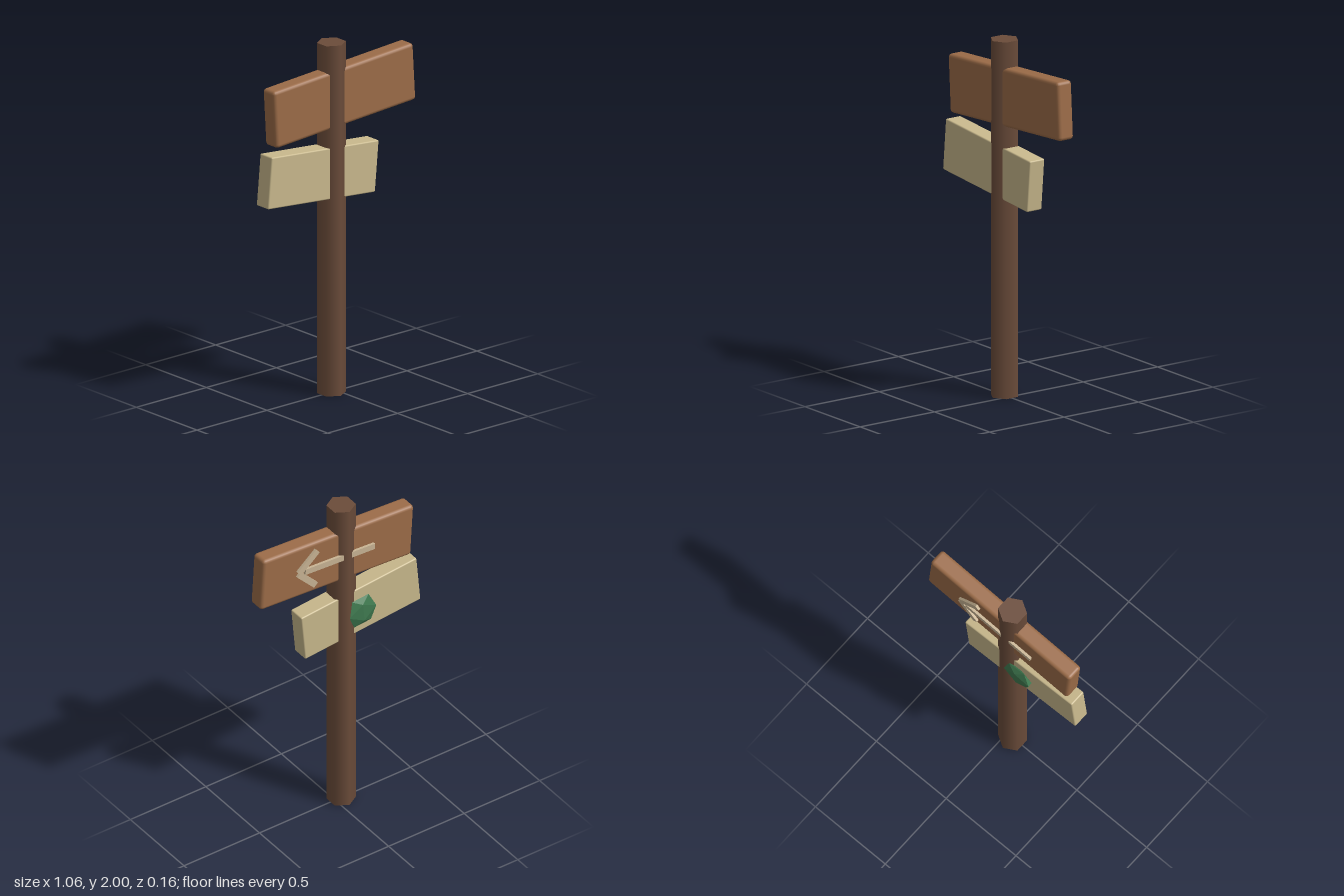
import * as THREE from 'three';
import { RoundedBoxGeometry } from 'three/addons/geometries/RoundedBoxGeometry.js';

const material = (color, flatShading = false) => {
  const m = new THREE.MeshStandardMaterial({ color });
  m.flatShading = flatShading;
  return m;
};

function addMesh(parent, name, geometry, mat, x, y, z, angle = 0) {
  const mesh = new THREE.Mesh(geometry, mat);
  mesh.name = name;
  mesh.position.set(x, y, z);
  mesh.rotation.z = angle;
  parent.add(mesh);
  return mesh;
}

// A tilted sign whose decorations sit in its own local frame
function addSign(parent, name, x, y, angle) {
  const sign = new THREE.Group();
  sign.name = name;
  sign.position.set(x, y, 0);
  sign.rotation.z = angle;
  parent.add(sign);
  return sign;
}

export function createModel() {
  const model = new THREE.Group();
  model.name = 'signpost';

  // Hexagonal post
  addMesh(model, 'post', new THREE.CylinderGeometry(0.08, 0.08, 2, 6), material(0x6b4c3a), -0.04, 1, 0);

  // Upper board with an arrow on its back
  const upper = addSign(model, 'upperSign', 0.0175, 1.69, 0.06);
  addMesh(upper, 'upperBoard', new RoundedBoxGeometry(1.0, 0.328, 0.1, 2, 0.02), material(0x9c6c48), 0, 0, 0);

  const arrowMat = material(0xc8b494);
  addMesh(upper, 'arrowShaft', new THREE.BoxGeometry(0.46, 0.036, 0.025), arrowMat, -0.007, 0, -0.0525);
  for (const side of [1, -1]) {
    addMesh(upper, side > 0 ? 'arrowHeadUpper' : 'arrowHeadLower',
      new THREE.BoxGeometry(0.16, 0.036, 0.025), arrowMat, 0.206, side * 0.058, -0.0525, -side * 0.76);
  }

  // Lower board with a faceted leaf-green stud on its back
  const lower = addSign(model, 'lowerSign', -0.1375, 1.275, -0.092);
  addMesh(lower, 'lowerBoard', new RoundedBoxGeometry(0.768, 0.292, 0.1, 2, 0.008), material(0xc8b88c), 0, 0, 0);
  const stud = addMesh(lower, 'stud', new THREE.IcosahedronGeometry(0.105, 0), material(0x3f7a50, true), 0.007, 0, -0.0625);
  stud.scale.z = 0.25;

  return model;
}
